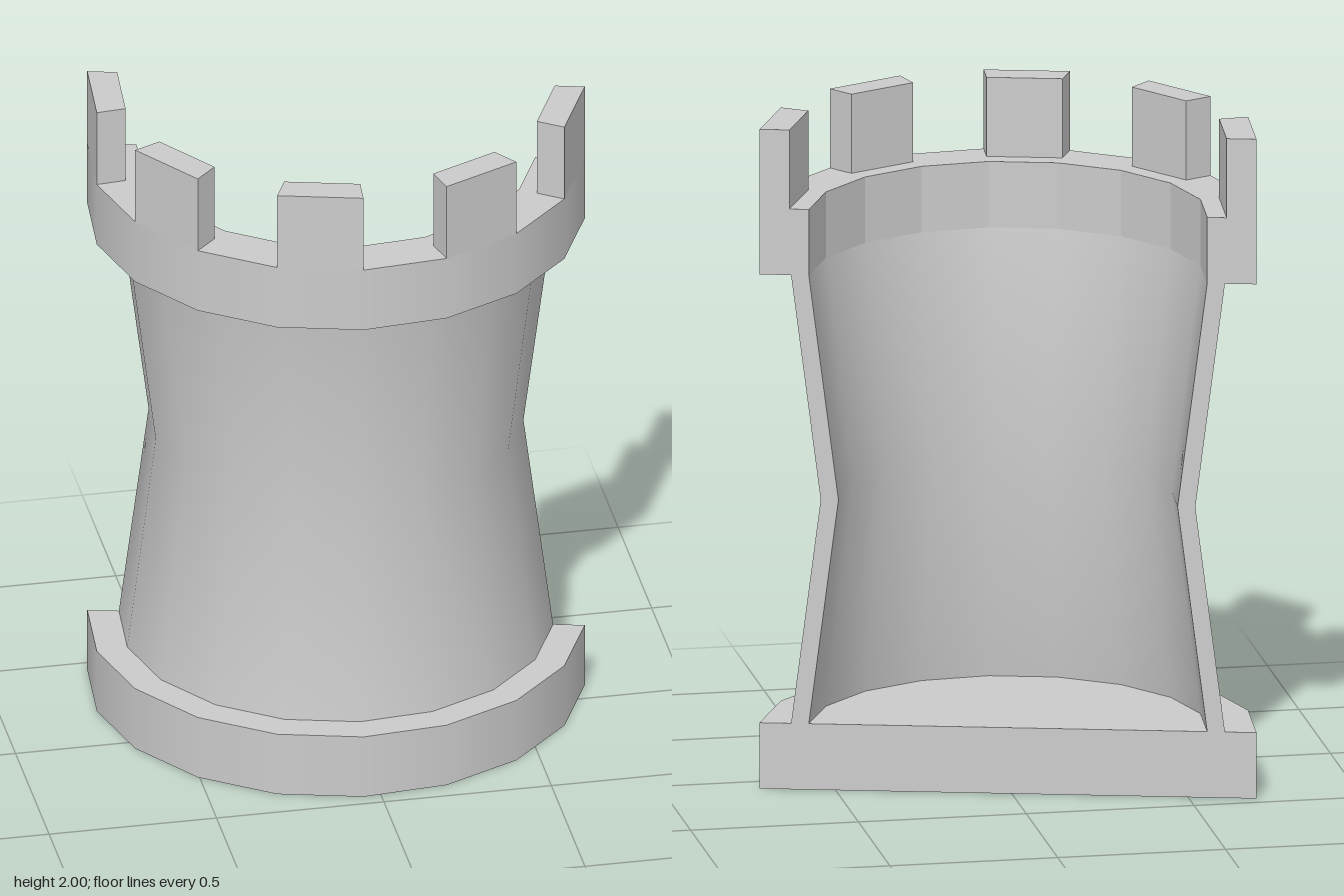
import * as THREE from 'three';
import { mergeGeometries } from 'three/addons/utils/BufferGeometryUtils.js';

const STEP = Math.PI / 9;              // one 20 degree facet of the half tower
const START = -105 * Math.PI / 180;    // the cut plane is turned 15 degrees
const R = 0.73;

// Sweeps a closed [radius, height] outline over some facets and caps both ends.
// Each side is a polyline, smooth along itself, with sharp edges between sides.
function sweep(name, sides, first, count, flatSides = []) {
  const phi = START + first * STEP;
  const parts = sides.map((side, i) => {
    const points = side.map(([r, y]) => new THREE.Vector2(r, y));
    const geometry = new THREE.LatheGeometry(points, count, phi, count * STEP).toNonIndexed();
    if (flatSides.includes(i)) geometry.computeVertexNormals();
    return geometry;
  });

  // End caps: the second is mirrored so that it faces the other way
  for (const [sign, angle] of [[1, phi - Math.PI / 2], [-1, phi + count * STEP + Math.PI / 2]]) {
    const outline = sides.flat().map(([r, y]) => new THREE.Vector2(sign * r, y))
      .filter((p, i, all) => i === 0 || !p.equals(all[i - 1]));
    if (outline[0].equals(outline[outline.length - 1])) outline.pop();
    parts.push(new THREE.ShapeGeometry(new THREE.Shape(outline)).rotateY(angle).toNonIndexed());
  }

  const mesh = new THREE.Mesh(
    mergeGeometries(parts),
    new THREE.MeshStandardMaterial({ color: 0xcccccc })
  );
  mesh.name = name;
  return mesh;
}

// The four sides of a rectangular section: bottom, outside, top, inside
function ringSides(inner, outer, low, high) {
  return [
    [[inner, low], [outer, low]],
    [[outer, low], [outer, high]],
    [[outer, high], [inner, high]],
    [[inner, high], [inner, low]],
  ];
}

export function createModel() {
  const tower = new THREE.Group();
  tower.name = 'halfTower';

  // Solid half-round base, which is also the floor
  tower.add(sweep('base', ringSides(0, R, 0, 0.2).slice(0, 3), 0, 9));

  // Thin wall narrowing to a waist
  tower.add(sweep('wall', [
    [[0.637, 0.2], [0.55, 0.88], [0.637, 1.56]],
    [[0.585, 1.56], [0.498, 0.88], [0.585, 0.2]],
  ], 0, 9));

  // Overhanging parapet with a faceted inner face
  tower.add(sweep('parapet', ringSides(0.585, R, 1.56, 1.76), 0, 9, [3]));

  // Merlons on every other facet
  const merlons = new THREE.Group();
  merlons.name = 'merlons';
  for (let i = 0; i < 9; i += 2) {
    merlons.add(sweep('merlon', ringSides(0.642, R, 1.76, 2), i, 1, [1, 3]));
  }
  tower.add(merlons);

  // Centre the half round on its bounding box
  tower.children.forEach((part) => part.position.set(0.011, 0, -0.269));
  return tower;
}
